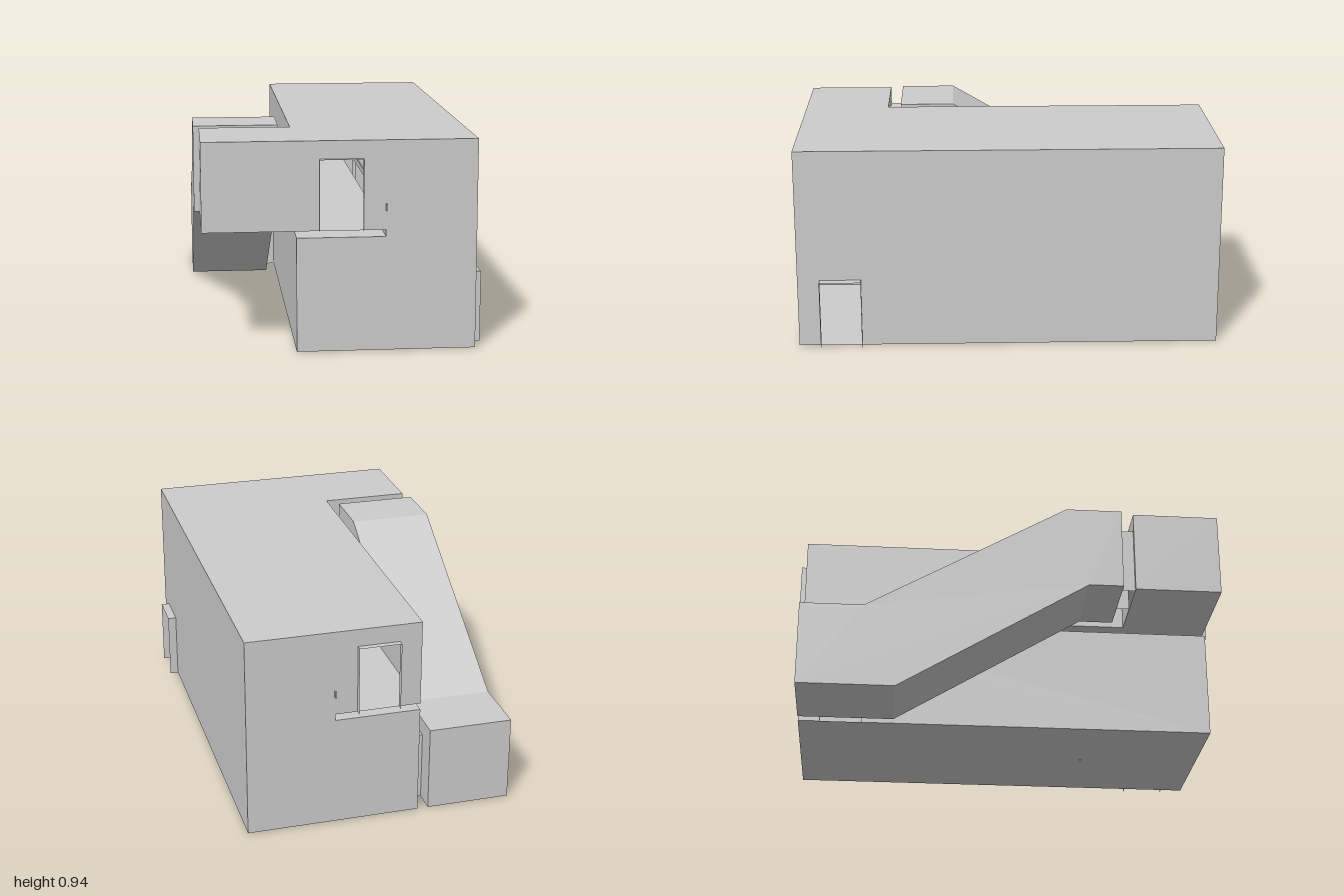
import * as THREE from 'three';

export function createModel() {
  const group = new THREE.Group();
  const grey = new THREE.MeshStandardMaterial({ color: 0xcccccc, side: THREE.DoubleSide });
  grey.name = 'plain grey';

  const V = (x, y, z) => new THREE.Vector3(x, y, z);
  // Plane axes: wall facing z (u = x), wall facing x (u = z), slab (u = x, v = z)
  const planes = {
    z: [V(1, 0, 0), V(0, 1, 0), V(0, 0, 1)],
    x: [V(0, 0, 1), V(0, 1, 0), V(-1, 0, 0)],
    y: [V(1, 0, 0), V(0, 0, 1), V(0, -1, 0)],
  };
  // Flat panel from a list of [u, v] corners, set at a distance along its axis
  function panel(name, axis, at, points) {
    const shape = new THREE.Shape(points.map(([u, v]) => new THREE.Vector2(u, v)));
    const geo = new THREE.ShapeGeometry(shape);
    const m = new THREE.Matrix4().makeBasis(...planes[axis]);
    const p = V(0, 0, 0);
    p[axis] = at;
    geo.applyMatrix4(m.setPosition(p));
    const mesh = new THREE.Mesh(geo, grey);
    mesh.name = name;
    group.add(mesh);
  }
  const rect = (a, b, c, d) => [[a, c], [b, c], [b, d], [a, d]];
  // Rectangle with a doorway cut up from its lower edge
  const doorWall = (a, b, c, d, d0, d1, top) =>
    [[a, c], [d0, c], [d0, top], [d1, top], [d1, c], [b, c], [b, d], [a, d]];
  function box(name, x0, x1, y0, y1, z0, z1) {
    const mesh = new THREE.Mesh(new THREE.BoxGeometry(x1 - x0, y1 - y0, z1 - z0), grey);
    mesh.position.set((x0 + x1) / 2, (y0 + y1) / 2, (z0 + z1) / 2);
    mesh.name = name;
    group.add(mesh);
  }

  const H = 0.935, F = 0.54, C = 0.51, L = -0.2, R = 0.59, E = 0.19;
  const Z = 0.972, W = -0.61, WZ = 0.57, doorTop = 0.855, lowTop = 0.32;

  // End walls, split by the open slot between the storeys
  const endWall = (left) => [
    [left, F], [-0.1, F], [-0.1, doorTop], [0.09, doorTop], [0.09, F], [E, F],
    [E, C], [L, C], [L, 0], [R, 0], [R, H], [left, H],
  ];
  panel('frontWall', 'z', Z, endWall(W));
  panel('backWall', 'z', -Z, endWall(L));

  // Roof and floors
  const ell = (right) => [[L, -Z], [right, -Z], [right, Z], [W, Z], [W, WZ], [L, WZ]];
  panel('roof', 'y', H, ell(R));
  panel('upperFloor', 'y', F, ell(E));
  panel('lowerCeiling', 'y', C, rect(L, E, -Z, Z));
  panel('groundFloor', 'y', 0, rect(L, R, -Z, Z));
  panel('galleryEdge', 'x', E, rect(-Z, Z, C, F));

  // Side walls and the overhanging wing
  panel('leftSideWall', 'x', R, doorWall(-Z, Z, 0, H, 0.68, 0.87, lowTop));
  panel('lowerRightWall', 'x', L, doorWall(-Z, Z, 0, C, -0.87, -0.68, lowTop));
  panel('upperRightWall', 'x', L, rect(-Z, WZ, F, H));
  panel('wingEndWall', 'x', W, rect(WZ, Z, F, H));
  panel('wingBackWall', 'z', WZ, doorWall(W, L, F, H, -0.59, -0.4, doorTop));

  // Doorway surrounds: two jambs and a head
  function surroundZ(name, x0, x1, y0, y1, z0, z1) {
    for (const x of [x0, x1]) panel(name + 'Jamb', 'x', x, rect(z0, z1, y0, y1));
    panel(name + 'Head', 'y', y1, rect(x0, x1, z0, z1));
  }
  function surroundX(name, x0, x1, y0, y1, z0, z1) {
    for (const z of [z0, z1]) panel(name + 'Jamb', 'z', z, rect(x0, x1, y0, y1));
    panel(name + 'Head', 'y', y1, rect(x0, x1, z0, z1));
  }
  surroundZ('frontDoor', -0.1, 0.09, F, doorTop, Z, 1);
  surroundZ('backDoor', -0.1, 0.09, F, doorTop, -1, -Z);
  surroundZ('wingDoor', -0.59, -0.4, F, doorTop, 0.51, WZ);
  surroundX('sideDoor', R, 0.63, 0, lowTop, 0.68, 0.87);
  surroundX('stairDoor', -0.25, L, 0, lowTop, -0.87, -0.68);

  // Enclosed stair: upper and lower outlines as [z, y]
  const S0 = -0.635, S1 = -0.25;
  const top = [[-Z, 0.395], [-0.68, 0.395], [0.25, H], [0.51, H]];
  const under = [[-Z, 0], [-0.53, 0], [0.35, F], [0.51, F]];
  const back = [...top].reverse();
  panel('stairOuterSide', 'x', S0, [...under, ...back]);
  panel('stairInnerSide', 'x', S1,
    [under[0], [-0.87, 0], [-0.87, lowTop], [-0.68, lowTop], [-0.68, 0], ...under.slice(1), ...back]);
  panel('stairLowerEnd', 'z', -Z, rect(S0, S1, 0, 0.395));
  panel('stairUpperEnd', 'z', 0.51, doorWall(S0, S1, F, H, -0.59, -0.4, doorTop));
  for (const [name, line, turn] of [['stairRoof', top, -1], ['stairUnderside', under, 1]]) {
    for (let i = 0; i < 3; i++) {
      const [za, ya] = line[i], [zb, yb] = line[i + 1];
      const geo = new THREE.PlaneGeometry(S1 - S0, Math.hypot(zb - za, yb - ya));
      geo.rotateX(turn * Math.PI / 2);
      geo.rotateX(-Math.atan2(yb - ya, zb - za));
      const mesh = new THREE.Mesh(geo, grey);
      mesh.position.set((S0 + S1) / 2, (ya + yb) / 2, (za + zb) / 2);
      mesh.name = name;
      group.add(mesh);
    }
  }

  // Gallery handrail and the posts under the gallery edge
  box('handrail', 0.188, 0.194, 0.625, 0.655, -0.985, 0.985);
  for (const z of [-0.4, 0.4]) box('galleryPost', 0.194, 0.208, -0.002, 0.63, z - 0.007, z + 0.007);

  return group;
}
